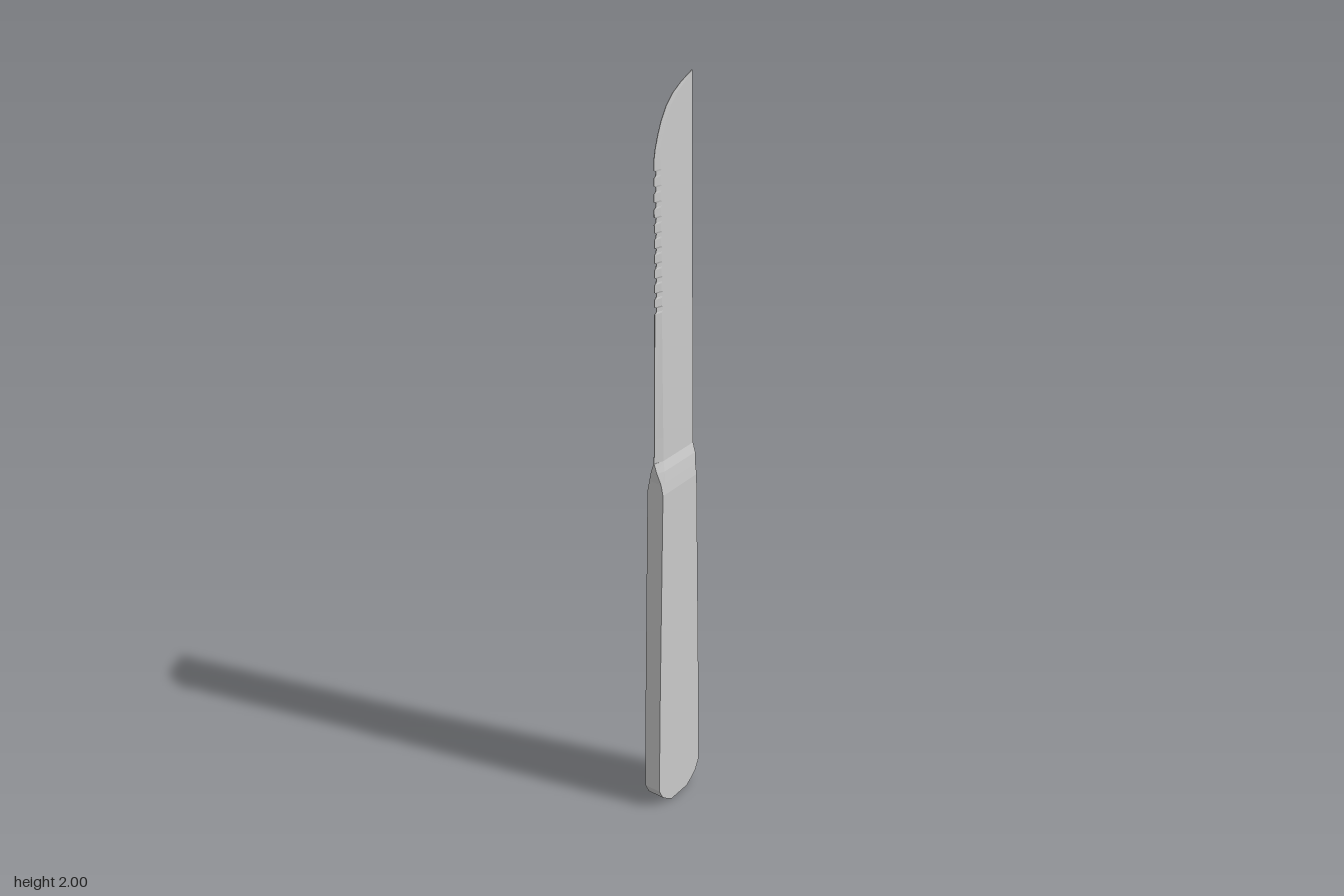
import * as THREE from 'three';

const material = new THREE.MeshStandardMaterial({ color: 0xcccccc, flatShading: true });

// Six-sided section [y, back z, front z, half thickness, bevel start z, edge half thickness]
function ring([y, back, front, t, bevel, e]) {
  return [[t, back], [-t, back], [-t, bevel], [-e, front], [e, front], [t, bevel]]
    .map(([x, z]) => [x, y, z]);
}

// Skin a stack of sections from bottom to top and cap both ends
function loft(name, rows) {
  const rings = rows.map(ring);
  const pos = [];
  const tri = (a, b, c) => pos.push(...a, ...b, ...c);
  for (let k = 0; k < rings.length - 1; k++) {
    const lo = rings[k], hi = rings[k + 1];
    for (let i = 0; i < 6; i++) {
      const j = (i + 1) % 6;
      tri(lo[i], lo[j], hi[j]);
      tri(lo[i], hi[j], hi[i]);
    }
  }
  const first = rings[0], last = rings[rings.length - 1];
  for (let i = 1; i < 5; i++) {
    tri(first[0], first[i + 1], first[i]);
    tri(last[0], last[i], last[i + 1]);
  }
  const geometry = new THREE.BufferGeometry();
  geometry.setAttribute('position', new THREE.Float32BufferAttribute(pos, 3));
  geometry.computeVertexNormals();
  const mesh = new THREE.Mesh(geometry, material);
  mesh.name = name;
  return mesh;
}

export function createModel() {
  const group = new THREE.Group();
  group.name = 'tableKnife';

  // Handle: slab with a rounded butt, narrowing to the shoulder
  const handle = [
    [0, 0.035], [0.012, 0.055], [0.03, 0.077], [0.06, 0.092], [0.08, 0.092],
    [0.35, 0.087], [0.6, 0.081], [0.97, 0.072],
  ].map(([y, w]) => [y, -w, w, 0.024, w - 0.01, 0.024]);
  // Shoulder sloping in to the blade
  handle.push(
    [1.0, -0.071, 0.072, 0.021, 0.06, 0.018],
    [1.03, -0.075, 0.077, 0.017, 0.055, 0.009],
    [1.055, -0.075, 0.077, 0.01, 0.05, 0.001],
  );
  group.add(loft('handle', handle));

  // Blade: thins towards the tip, with a bevel along the cutting edge
  const thickness = (y) => y < 1.8
    ? THREE.MathUtils.mapLinear(y, 1.055, 1.8, 0.01, 0.003)
    : THREE.MathUtils.mapLinear(y, 1.8, 2, 0.003, 0.0015);
  const outline = [[1.055, 0.077], [1.12, 0.074], [1.25, 0.073], [1.44, 0.071]];
  // Serrations: shallow square-sided notches
  const teeth = 10, pitch = 0.037;
  for (let i = 0; i < teeth; i++) {
    const y = 1.45 + i * pitch;
    outline.push([y, 0.071], [y + 0.004, 0.065], [y + 0.014, 0.063], [y + 0.018, 0.071]);
  }
  // Curved tip sweeping back to the spine
  outline.push([1.825, 0.071], [1.85, 0.066], [1.88, 0.056], [1.91, 0.043], [1.94, 0.024],
    [1.963, 0], [1.982, -0.032], [2, -0.074]);
  const blade = outline.map(([y, front]) => {
    const bevel = Math.max(-0.075, Math.min(0.05, front - 0.018));
    return [y, -0.075, front, thickness(y), bevel, 0.0008];
  });
  group.add(loft('blade', blade));
  return group;
}
